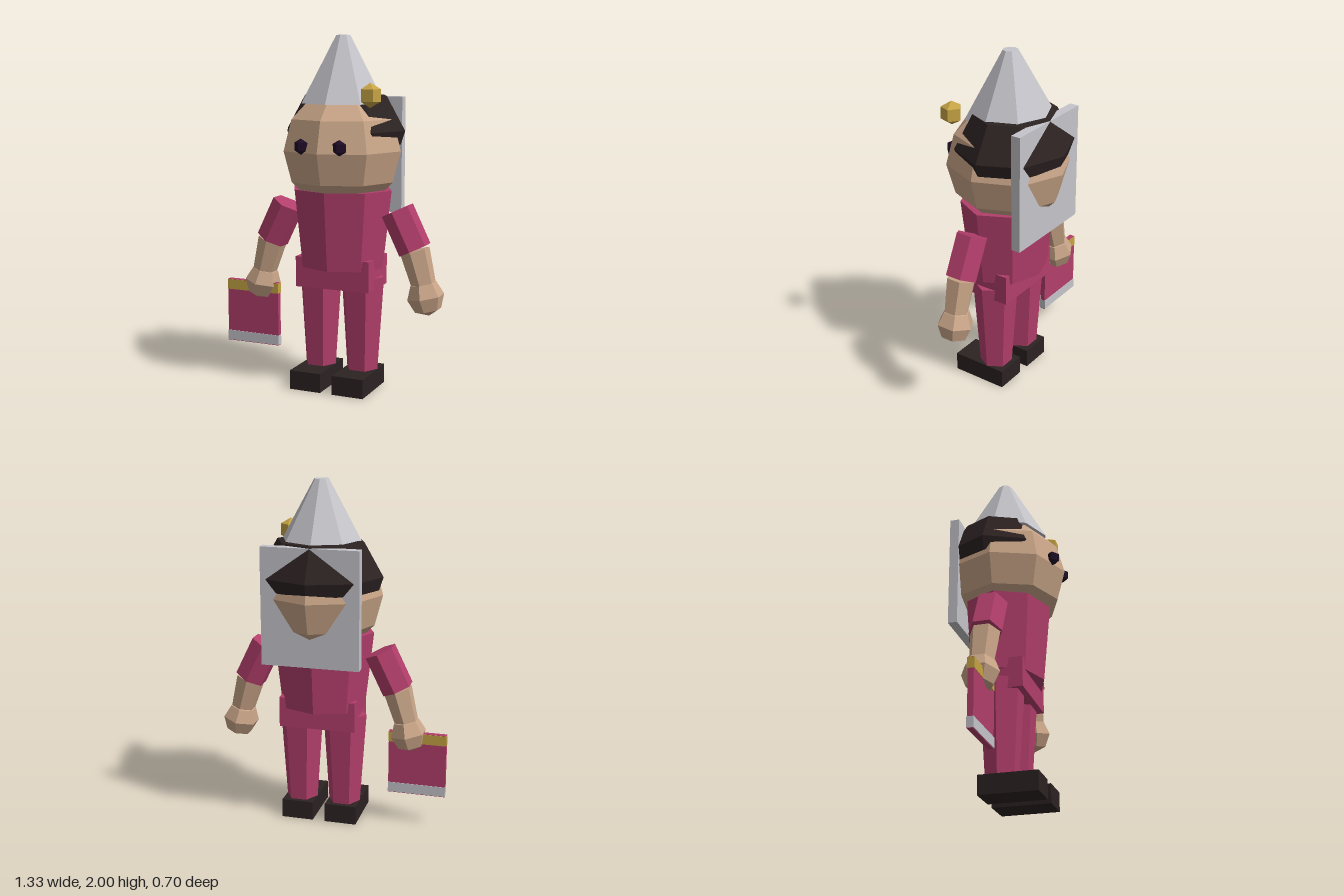
import * as THREE from 'three';

const material = (name, color) => {
  const m = new THREE.MeshStandardMaterial({ color });
  m.name = name;
  return m;
};

export function createModel() {
  const skin = material('skin', 0xc9a588);
  const cloth = material('raspberry cloth', 0xb23e6b);
  const grey = material('light grey', 0xc4c4ca);
  const dark = material('dark brown', 0x2c2222);
  const gold = material('gold', 0xc6a445);
  const black = material('eye black', 0x1c0c24);

  const model = new THREE.Group();
  model.name = 'figure';
  const figure = new THREE.Group();
  figure.name = 'body';
  figure.position.x = 0.058;
  model.add(figure);

  // Faceted mesh: unshared corners give every face its own normal
  const part = (name, geometry, mat, x, y, z, parent = figure) => {
    const g = geometry.index ? geometry.toNonIndexed() : geometry;
    g.computeVertexNormals();
    const mesh = new THREE.Mesh(g, mat);
    mesh.name = name;
    mesh.position.set(x, y, z);
    parent.add(mesh);
    return mesh;
  };
  const box = (w, h, d) => new THREE.BoxGeometry(w, h, d);
  const tube = (top, bottom, h, sides) => new THREE.CylinderGeometry(top, bottom, h, sides);
  const ball = (r, sides, rings) => new THREE.SphereGeometry(r, sides, rings);

  // Head, and hair as a shallow cap set back on it
  part('head', ball(0.35, 8, 6), skin, 0, 1.365, 0);
  const hairProfile = [[0.25, 1.4], [0.335, 1.4], [0.36, 1.475], [0.25, 1.665], [0, 1.69]]
    .map(([r, y]) => new THREE.Vector2(r, y));
  part('hair', new THREE.LatheGeometry(hairProfile, 8).scale(1, 1, 0.875), dark, 0, 0, -0.04);

  // Hat with its round bobble
  part('hat', tube(0.042, 0.25, 0.375, 8), grey, 0, 1.8125, -0.01);
  part('bobble', ball(0.067, 5, 3).rotateY(-Math.PI / 2), gold, 0.246, 1.678, 0.2);

  // Torso, hips and the flat panel on the back
  part('torso', tube(0.3, 0.25, 0.445, 8).scale(1, 1, 0.84), cloth, 0, 0.9225, 0.005);
  part('hips', box(0.445, 0.175, 0.285), cloth, 0, 0.6725, 0.01);
  part('backPanel', box(0.558, 0.665, 0.054), grey, 0, 1.3225, -0.238);

  for (const s of [-1, 1]) {
    const side = s > 0 ? 'left' : 'right';

    part(side + 'Eye', ball(0.044, 4, 3), black, s * 0.113, 1.4, 0.306);

    // Leg and shoe
    part(side + 'Leg', tube(0.13, 0.093, 0.55, 6).rotateY(Math.PI / 2), cloth, s * 0.13, 0.375, 0.008);
    part(side + 'Shoe', box(0.187, 0.11, 0.334), dark, s * 0.13, 0.055, 0.066);

    // Arm: sleeve, forearm and hand
    part(side + 'Sleeve', tube(0.095, 0.095, 0.241, 6), cloth, s * 0.389, 0.93, 0.008)
      .rotation.z = s * 0.454;
    part(side + 'Forearm', tube(0.085, 0.068, 0.22, 6), skin, s * 0.472, 0.712, 0.008)
      .rotation.z = s * 0.28;
    part(side + 'Hand', ball(0.106, 6, 4).rotateY(Math.PI / 2), skin, s * 0.508, 0.56, 0.006)
      .rotation.z = s * 0.2;
  }

  // Flat bag in the right hand, with a band across its top and bottom
  const bag = new THREE.Group();
  bag.name = 'bag';
  bag.position.set(-0.502, 0, 0.027);
  model.add(bag);
  part('bagBody', box(0.335, 0.377, 0.032), cloth, 0, 0.373, 0, bag);
  part('bagTopBand', box(0.337, 0.06, 0.038), gold, 0, 0.53, 0, bag);
  part('bagBottomBand', box(0.337, 0.058, 0.038), grey, 0, 0.217, 0, bag);

  return model;
}
